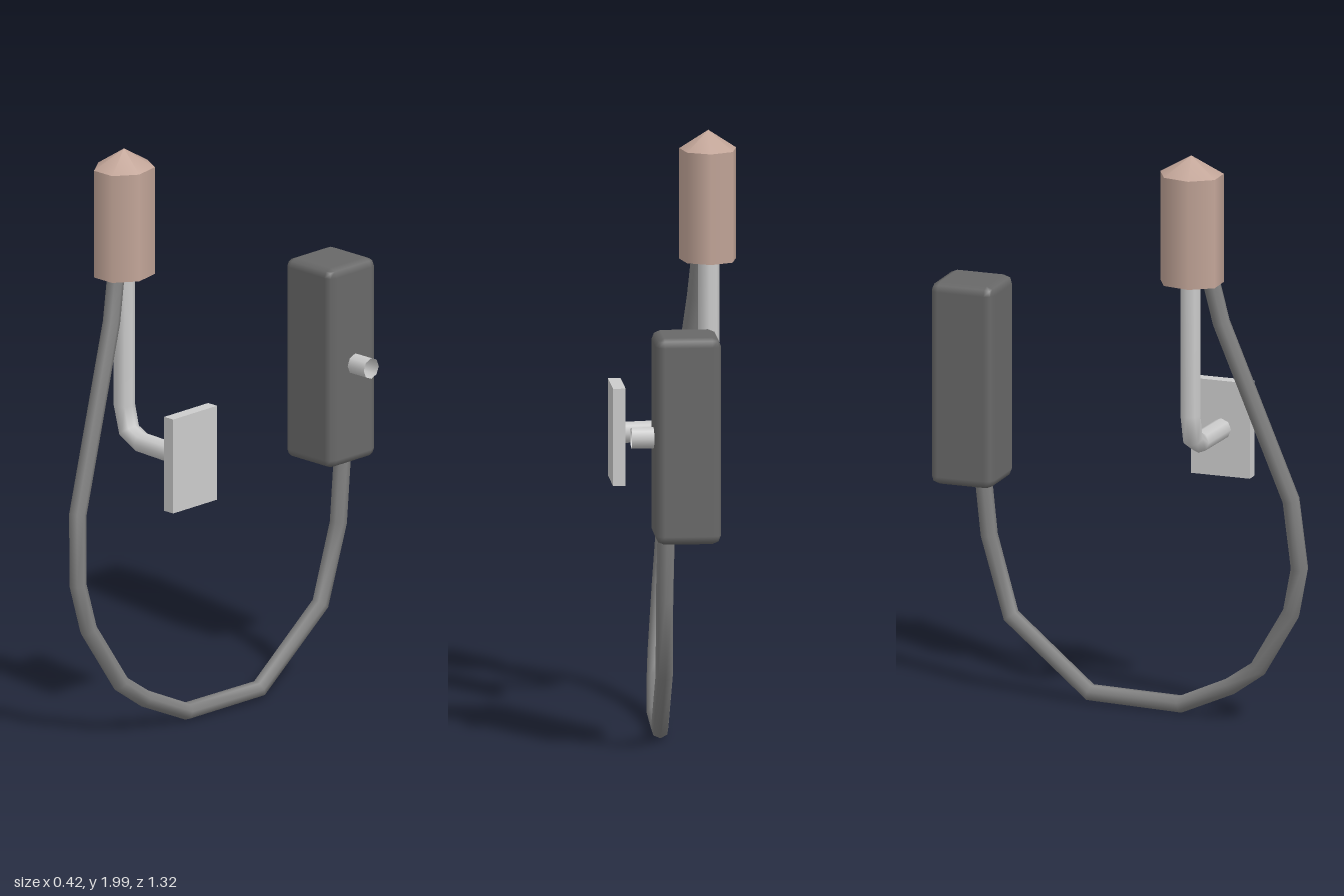
import * as THREE from 'three';
import { RoundedBoxGeometry } from 'three/addons/geometries/RoundedBoxGeometry.js';

// Path with straight runs whose rings land exactly on the given points
class Polyline extends THREE.Curve {
  constructor(points) {
    super();
    this.points = points.map(p => new THREE.Vector3(...p));
  }
  getPoint(t, target = new THREE.Vector3()) {
    const last = this.points.length - 1;
    const i = Math.min(Math.floor(t * last + 1e-9), last - 1);
    return target.lerpVectors(this.points[i], this.points[i + 1], t * last - i);
  }
  getPointAt(t, target) { return this.getPoint(t, target); }
  getTangentAt(t, target) { return this.getTangent(t, target); }
}

const material = color => new THREE.MeshStandardMaterial({ color, side: THREE.DoubleSide });

export function createModel() {
  const model = new THREE.Group();
  const grey = material(0xcccccc);
  const darkGrey = material(0x686868);
  const cordGrey = material(0x808080);
  const copper = material(0xc2a598);

  const add = (name, geometry, mat, x = 0, y = 0, z = 0, parent = model) => {
    const mesh = new THREE.Mesh(geometry, mat);
    mesh.name = name;
    mesh.position.set(x, y, z);
    parent.add(mesh);
    return mesh;
  };
  const pipe = (points, radius, sides) =>
    new THREE.TubeGeometry(new Polyline(points), points.length - 1, radius, sides, false);

  // Lamp head: seven-sided cylinder with a shallow pointed cap
  const head = new THREE.Group();
  head.name = 'lampHead';
  head.position.set(-0.119, 0, 0.29);
  head.rotation.y = Math.PI;
  head.scale.x = 0.88;
  model.add(head);
  add('headBody', new THREE.CylinderGeometry(0.111, 0.111, 0.375, 7), copper, 0, 1.7475, 0, head);
  add('headCap', new THREE.ConeGeometry(0.111, 0.065, 7, 1, true), copper, 0, 1.9675, 0, head);

  // Bent bracket arm and its wall plate
  add('bracketArm', pipe([
    [-0.12, 1.6, 0.287], [-0.12, 1.1, 0.287], [-0.098, 1.015, 0.287],
    [-0.04, 0.985, 0.287], [0.18, 0.978, 0.287],
  ], 0.036, 8), grey);
  add('wallPlate', new THREE.BoxGeometry(0.042, 0.33, 0.21), grey, 0.188, 0.98, 0.285);

  // Control box with chamfered edges and an open side knob
  add('controlBox', new RoundedBoxGeometry(0.22, 0.7, 0.225, 1, 0.03), darkGrey, 0.025, 1.105, -0.55);
  const knob = add('knob', new THREE.CylinderGeometry(0.036, 0.036, 0.1, 8, 1, true), grey, 0.16, 1.105, -0.555);
  knob.rotation.z = Math.PI / 2;

  // Hanging cord from the lamp head to the control box
  add('cord', pipe([
    [-0.1, 1.6, 0.345], [-0.085, 1.42, 0.385], [-0.022, 0.81, 0.61],
    [0, 0.57, 0.632], [0.015, 0.41, 0.597], [0.04, 0.2, 0.47],
    [0.052, 0.125, 0.365], [0.067, 0.04, 0.18], [0.08, 0.045, -0.15],
    [0.088, 0.28, -0.435], [0.094, 0.55, -0.515], [0.09, 0.8, -0.54],
  ], 0.03, 7), cordGrey);

  return model;
}
